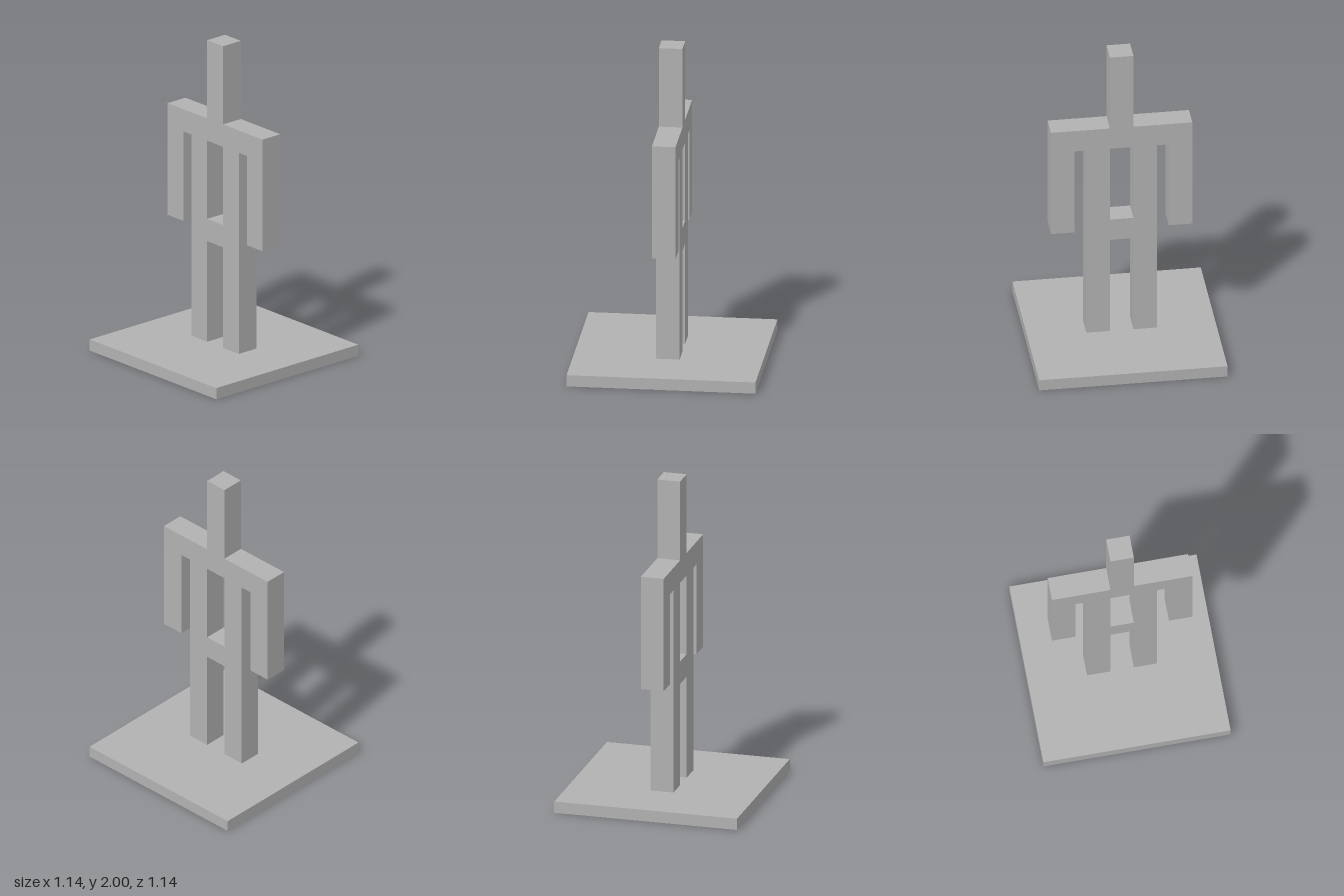
import * as THREE from 'three';

// One modelling unit: the figure is 28 units tall
const U = 2 / 28;

export function createModel() {
  const model = new THREE.Group();
  model.name = 'standingFigure';

  const grey = new THREE.MeshStandardMaterial({ color: 0xb2b2b2 });
  grey.name = 'plain grey';

  // Box from x0..x1 and y0..y1 in units, centred on z
  function addBox(name, x0, x1, y0, y1, depth = 2) {
    const geometry = new THREE.BoxGeometry((x1 - x0) * U, (y1 - y0) * U, depth * U);
    const mesh = new THREE.Mesh(geometry, grey);
    mesh.name = name;
    mesh.position.set(((x0 + x1) / 2) * U, ((y0 + y1) / 2) * U, 0);
    model.add(mesh);
  }

  // Centre parts
  addBox('basePlate', -8, 8, 0, 1, 16);
  addBox('hipBar', -1, 1, 10, 12);
  addBox('shoulderBar', -6, 6, 19, 21);
  addBox('head', -1, 1, 21, 28);

  // Mirrored parts: each leg post runs on up to the shoulders
  for (const [side, s] of [['left', 1], ['right', -1]]) {
    const addSide = (part, inner, outer, y0, y1) =>
      addBox(side + part, Math.min(s * inner, s * outer), Math.max(s * inner, s * outer), y0, y1);
    addSide('Leg', 1, 3, 1, 10);
    addSide('TorsoPost', 1, 3, 10, 19);
    addSide('Arm', 4, 6, 11, 19);
  }

  return model;
}
